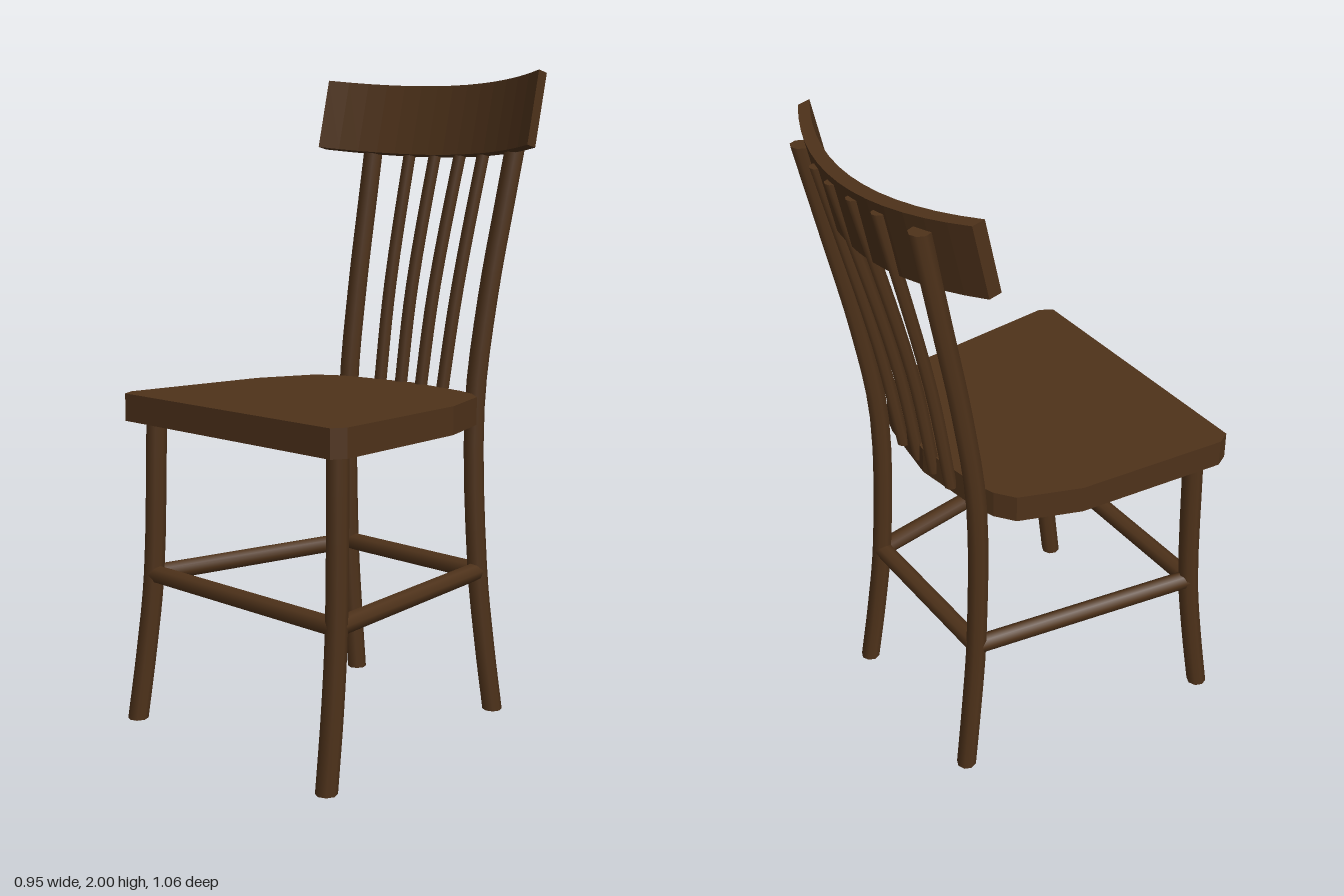
import * as THREE from 'three';

const wood = new THREE.MeshStandardMaterial({ color: 0x4e321a });

function add(parent, name, geometry) {
  const mesh = new THREE.Mesh(geometry, wood);
  mesh.name = name;
  parent.add(mesh);
  return mesh;
}

// Upright round post whose level rings follow a curve through the points
function post(points, radius, sides = 8, rings = 12) {
  const curve = new THREE.CatmullRomCurve3(points.map(p => new THREE.Vector3(...p)));
  const geometry = new THREE.CylinderGeometry(radius, radius, 1, sides, rings);
  const pos = geometry.attributes.position;
  for (let i = 0; i < pos.count; i++) {
    const c = curve.getPoint(THREE.MathUtils.clamp(pos.getY(i) + 0.5, 0, 1));
    pos.setXYZ(i, pos.getX(i) + c.x, c.y, pos.getZ(i) + c.z);
  }
  return geometry;
}

// Straight round bar between two points
function bar(parent, name, from, to, radius) {
  const a = new THREE.Vector3(...from), b = new THREE.Vector3(...to);
  const mesh = add(parent, name, new THREE.CylinderGeometry(radius, radius, a.distanceTo(b), 8));
  mesh.position.copy(a).add(b).multiplyScalar(0.5);
  mesh.quaternion.setFromUnitVectors(new THREE.Vector3(0, 1, 0), b.sub(a).normalize());
}

export function createModel() {
  const chair = new THREE.Group();
  chair.name = 'chair';

  // Seat: half outline as (x, z) from front to back, mirrored
  const half = [[0.45, 0.507], [0.473, 0.465], [0.427, -0.014], [0.357, -0.2], [0.3, -0.242], [0.24, -0.262]];
  const outline = [...half, [0, -0.296], ...half.map(([x, z]) => [-x, z]).reverse()];
  const seatShape = new THREE.Shape(outline.map(([x, z]) => new THREE.Vector2(x, -z)));
  const seat = add(chair, 'seat', new THREE.ExtrudeGeometry(seatShape, { depth: 0.085, bevelEnabled: false }).rotateX(-Math.PI / 2));
  seat.position.y = 0.945;

  // Legs, with the back pair rising to carry the crest rail
  for (const s of [1, -1]) {
    const side = s > 0 ? 'left' : 'right';
    add(chair, side + 'FrontLeg', post([
      [s * 0.426, 0, 0.5], [s * 0.417, 0.22, 0.468], [s * 0.407, 0.46, 0.442], [s * 0.398, 0.96, 0.427],
    ], 0.032));
    add(chair, side + 'BackLeg', post([
      [s * 0.305, 0, -0.355], [s * 0.294, 0.22, -0.325], [s * 0.284, 0.48, -0.297], [s * 0.276, 0.98, -0.285],
      [s * 0.283, 1.32, -0.333], [s * 0.296, 1.63, -0.398], [s * 0.31, 1.94, -0.465],
    ], 0.031, 8, 24));
    bar(chair, side + 'Stretcher', [s * 0.407, 0.46, 0.442], [s * 0.284, 0.46, -0.298], 0.029);
  }
  bar(chair, 'frontStretcher', [-0.407, 0.46, 0.442], [0.407, 0.46, 0.442], 0.029);
  bar(chair, 'backStretcher', [-0.284, 0.46, -0.298], [0.284, 0.46, -0.298], 0.029);

  // Back spindles, fanning out towards the top
  for (const [low, high, zTop] of [[0.043, 0.056, -0.51], [0.134, 0.163, -0.497]]) {
    for (const s of [1, -1]) {
      add(chair, 'spindle', post([
        [s * low, 0.97, -0.283], [s * (low * 0.6 + high * 0.4), 1.34, -0.348], [s * high, 1.94, zTop],
      ], 0.02));
    }
  }

  // Curved crest rail, leaning backwards
  const steps = 14, width = 0.445, thick = 0.038;
  const back = [], front = [];
  for (let i = 0; i <= steps; i++) {
    const t = (i / steps) * 2 - 1;
    const bow = 0.126 * (1 - t * t);
    back.push(new THREE.Vector2(t * width, bow));
    front.unshift(new THREE.Vector2(t * width, bow - thick));
  }
  const railShape = new THREE.Shape([...back, ...front]);
  const rail = add(chair, 'crestRail', new THREE.ExtrudeGeometry(railShape, { depth: 0.225, bevelEnabled: false }).rotateX(-Math.PI / 2));
  rail.rotation.x = -0.22;
  rail.position.set(0, 1.772, -0.348);

  return chair;
}
